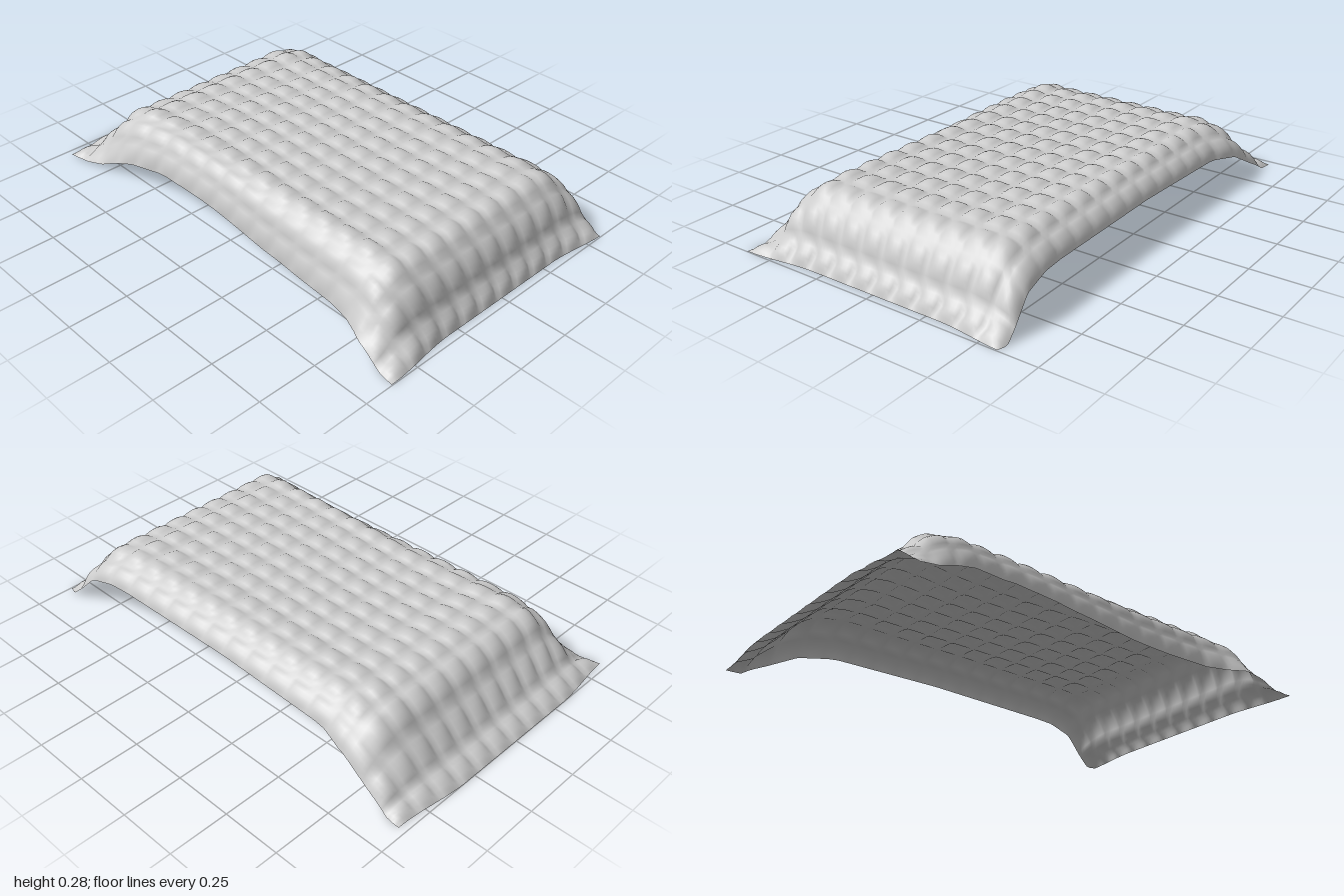
import * as THREE from 'three';

const CELLS_Z = 12, SUB = 6;
const { lerp, smoothstep } = THREE.MathUtils;

// seams across x: wider squares on the sloping ends, even ones on top
const seams = [-1, -0.905, -0.8];
for (let i = 0; i <= 13; i++) seams.push(lerp(-0.685, 0.83, i / 13));
seams.push(0.91, 0.997);

// piecewise linear lookup in a list of [x, value]
function sample(list, x) {
  if (x <= list[0][0]) return list[0][1];
  for (let i = 1; i < list.length; i++) {
    const [x0, a] = list[i - 1], [x1, b] = list[i];
    if (x <= x1) return lerp(a, b, (x - x0) / (x1 - x0));
  }
  return list[list.length - 1][1];
}

// height of the drape along x
const drape = [
  [-1, 0], [-0.97, 0.012], [-0.92, 0.042], [-0.87, 0.085], [-0.82, 0.14], [-0.77, 0.2],
  [-0.71, 0.242], [-0.62, 0.258], [0.7, 0.258], [0.77, 0.247], [0.82, 0.223],
  [0.855, 0.178], [0.88, 0.138], [0.905, 0.095], [0.935, 0.055], [0.97, 0.025], [0.997, 0]];

// hem lines along x: depth and height
const frontZ = [[-1, 0.605], [-0.8, 0.575], [-0.65, 0.545], [-0.45, 0.508], [-0.1, 0.497],
  [0.3, 0.505], [0.6, 0.525], [0.7, 0.55], [0.8, 0.595], [1, 0.627]];
const frontY = [[-0.87, 0], [-0.78, 0.022], [-0.7, 0.058], [-0.6, 0.09], [-0.4, 0.11], [-0.2, 0.105],
  [0, 0.088], [0.2, 0.065], [0.4, 0.056], [0.6, 0.055], [0.78, 0.065], [0.85, 0.04], [0.93, 0]];
const backZ = [[-0.98, -0.63], [-0.8, -0.612], [-0.65, -0.595], [-0.55, -0.567], [0, -0.557],
  [0.6, -0.56], [0.8, -0.575], [0.95, -0.595], [1, -0.58]];
const backY = [[-0.92, 0], [-0.8, 0.06], [-0.67, 0.13], [-0.5, 0.155], [0, 0.165], [0.7, 0.16],
  [0.82, 0.13], [0.9, 0.05], [0.96, 0]];

// front-to-back section for one place along x
function section(x, top) {
  const zb = sample(backZ, x), zf = sample(frontZ, x);
  const hb = Math.min(top, sample(backY, x)), hf = Math.min(top, sample(frontY, x));
  const flare = smoothstep(zf, 0.5, 0.6);
  const skirt = (rise, z, h, shoulder) => rise
    .map(([a, b]) => new THREE.Vector3(x, lerp(h, top, b), lerp(z, shoulder, a)));
  return new THREE.CatmullRomCurve3([
    ...skirt([[0, 0], [0.12, 0.32], [0.45, 0.7], [1, 1]], zb, hb, -0.42),
    new THREE.Vector3(x, top, -0.3),
    new THREE.Vector3(x, top, 0.3),
    ...skirt([[1, 1], [0.5, lerp(0.82, 0.72, flare)], [0.2, lerp(0.45, 0.22, flare)], [0, 0]], zf, hf, 0.4),
  ], false, 'centripetal');
}

// side hems bow: the left and right ends follow their own gentle curve
function sideBow(x, z) {
  const corner = smoothstep(Math.abs(z), 0.3, 0.62);
  return 0.03 * (corner * smoothstep(-x, 0.85, 1) - (1 - corner) * smoothstep(x, 0.88, 1));
}

function quiltGeometry() {
  const nx = (seams.length - 1) * SUB, nz = CELLS_Z * SUB;
  const geo = new THREE.PlaneGeometry(1, 1, nx, nz);
  const pos = geo.attributes.position;

  // smooth draped sheet
  for (let i = 0; i <= nx; i++) {
    const cell = Math.min(Math.floor(i / SUB), seams.length - 2);
    const x = lerp(seams[cell], seams[cell + 1], i / SUB - cell);
    const curve = section(x, sample(drape, x));
    for (let j = 0; j <= nz; j++) {
      const q = curve.getPointAt(j / nz);
      pos.setXYZ(j * (nx + 1) + i, x + sideBow(x, q.z), q.y, q.z);
    }
  }
  geo.computeVertexNormals();

  // padded squares pushed out along the normals, flatter on the skirts and ends
  const n = new THREE.Vector3(), p = new THREE.Vector3();
  for (let j = 0; j <= nz; j++) {
    for (let i = 0; i <= nx; i++) {
      const k = j * (nx + 1) + i;
      n.fromBufferAttribute(geo.attributes.normal, k);
      p.fromBufferAttribute(pos, k);
      const puff = Math.abs(Math.sin(Math.PI * i / SUB) * Math.sin(Math.PI * j / SUB));
      const soft = lerp(1, 0.4, smoothstep(Math.abs(n.z), 0.25, 0.75)) * lerp(1, 0.8, Math.abs(n.x));
      p.addScaledVector(n, 0.019 * soft * Math.pow(puff, 0.75));
      pos.setXYZ(k, p.x, Math.max(0, p.y), p.z);
    }
  }
  geo.computeVertexNormals();
  return geo;
}

export function createModel() {
  const group = new THREE.Group();
  group.name = 'quiltedBlanket';
  const quilt = new THREE.Mesh(quiltGeometry(),
    new THREE.MeshStandardMaterial({ color: 0xcccccc, side: THREE.DoubleSide }));
  quilt.name = 'quilt';
  group.add(quilt);
  return group;
}
